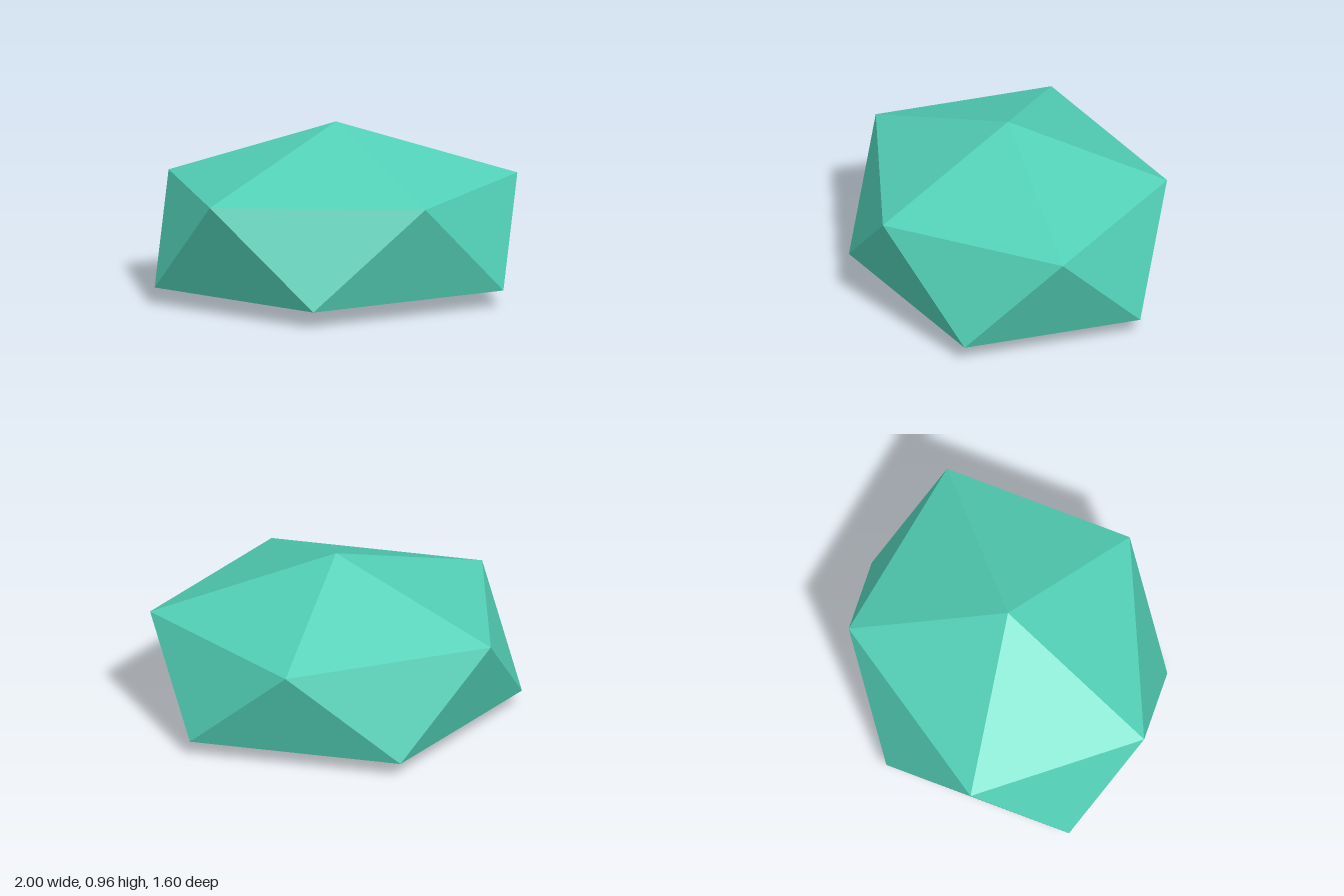
import * as THREE from 'three';

const SIDES = 5;
const DEPTH = 0.84; // squash along z

// Ring of corners, anticlockwise seen from above
function ring(y, turn) {
  return Array.from({ length: SIDES }, (_, i) => {
    const a = ((i + turn) / SIDES) * Math.PI * 2;
    return [Math.cos(a), y, -Math.sin(a) * DEPTH];
  });
}

export function createModel() {
  const teal = new THREE.MeshStandardMaterial({ color: 0x52cfb6, flatShading: true });
  teal.name = 'teal';

  // Two staggered pentagons between a peak and a shallow base point
  const peak = [0, 0.96, 0];
  const base = [0, 0.003, 0];
  const upper = ring(0.63, 0);
  const lower = ring(0.096, 0.5);

  const corners = [];
  for (let i = 0; i < SIDES; i++) {
    const j = (i + 1) % SIDES;
    corners.push(
      peak, upper[i], upper[j],      // crown facet
      upper[i], lower[i], upper[j],  // side facet pointing down
      lower[i], lower[j], upper[j],  // side facet pointing up
      base, lower[j], lower[i],      // underside facet
    );
  }

  const geometry = new THREE.BufferGeometry();
  geometry.setAttribute('position', new THREE.Float32BufferAttribute(corners.flat(), 3));
  geometry.computeVertexNormals();

  const gem = new THREE.Mesh(geometry, teal);
  gem.name = 'facetedStone';

  const model = new THREE.Group();
  model.name = 'stone';
  model.add(gem);
  return model;
}
